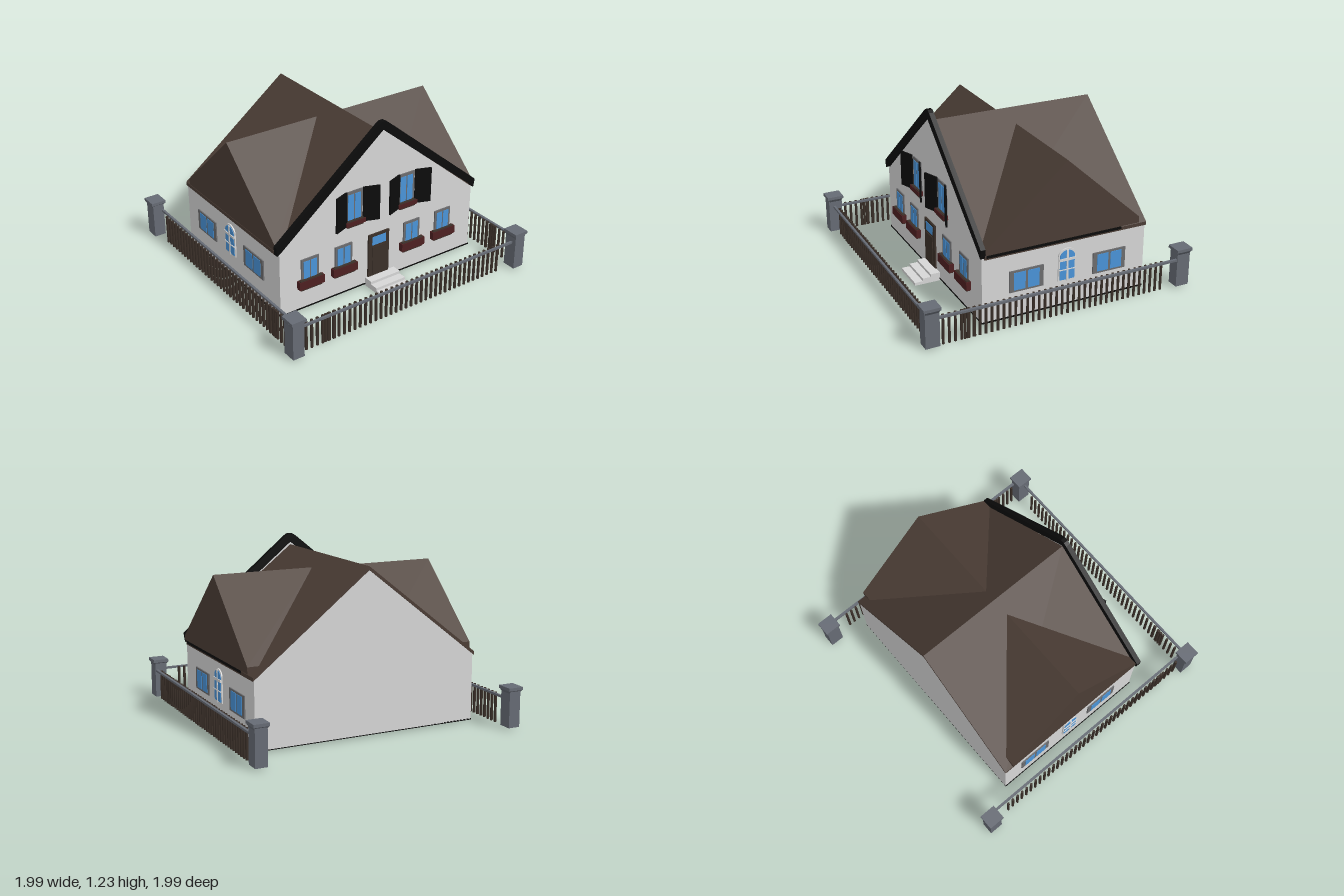
import * as THREE from 'three';

const mat = (name, color) => {
  const m = new THREE.MeshStandardMaterial({ color });
  m.name = name;
  return m;
};

export function createModel() {
  const house = new THREE.Group();
  house.name = 'house';
  const plaster = mat('plaster', 0xd6d6d6), roofing = mat('roofing', 0x4b3d35),
    black = mat('blackWood', 0x0c0c0c), slate = mat('slate', 0x666b74),
    glass = mat('glass', 0x4a94d8), red = mat('redWood', 0x4e2021),
    brown = mat('brownWood', 0x3b3029), grey = mat('frameGrey', 0x6c6c6e);

  const add = (parent, name, geo, material, x = 0, y = 0, z = 0) => {
    const m = new THREE.Mesh(geo, material);
    m.name = name;
    m.position.set(x, y, z);
    parent.add(m);
    return m;
  };
  // box given by its extents
  const box = (parent, name, material, x0, x1, y0, y1, z0, z1) => add(parent, name,
    new THREE.BoxGeometry(x1 - x0, y1 - y0, z1 - z0), material, (x0 + x1) / 2, (y0 + y1) / 2, (z0 + z1) / 2);
  // outline in x, y pushed from z0 to z1
  const prism = (parent, name, material, pts, z0, z1) => add(parent, name,
    new THREE.ExtrudeGeometry(new THREE.Shape(pts.map(p => new THREE.Vector2(...p))),
      { depth: z1 - z0, bevelEnabled: false }), material, 0, 0, z0);
  const group = (parent, name, x, y, z, ry = 0) => {
    const g = new THREE.Group();
    g.name = name;
    g.position.set(x, y, z);
    g.rotation.y = ry;
    parent.add(g);
    return g;
  };

  // body, front gable and underside
  prism(house, 'walls', plaster, [[-0.79, 0.02], [0.85, 0.02], [0.85, 0.49], [0.03, 1.14], [-0.79, 0.49]], -0.69, 0.52);
  prism(house, 'frontGable', plaster, [[-0.79, 0.02], [0.85, 0.02], [0.85, 0.5], [0.03, 1.18], [-0.79, 0.5]], 0.519, 0.53);
  box(house, 'underside', black, -0.795, 0.855, 0.014, 0.024, -0.69, 0.533);

  // main roof and thick black front edge
  prism(house, 'mainRoof', roofing, [[-0.8, 0.48], [0.03, 1.13], [0.86, 0.48], [0.86, 0.505], [0.03, 1.155], [-0.8, 0.505]], -0.695, 0.515);
  prism(house, 'frontRoofEdge', black, [[-0.815, 0.5], [-0.78, 0.52], [0.03, 1.175], [0.83, 0.525], [0.86, 0.495],
    [0.87, 0.56], [0.07, 1.22], [0.045, 1.235], [0.015, 1.235], [-0.01, 1.22], [-0.82, 0.56]], 0.51, 0.545);

  // cross gables on both sides
  for (const [side, x] of [[1, 0.87], [-1, -0.805]]) {
    const g = group(house, side > 0 ? 'leftCrossGable' : 'rightCrossGable', x, 0, 0, side * Math.PI / 2);
    const s = -side;
    const pts = [[s * 0.51, 0.515], [s * 0.51, 0.55], [s * -0.07, 1.07], [s * -0.63, 0.56], [s * -0.63, 0.515]];
    prism(g, 'crossRoof', roofing, side > 0 ? pts : pts.reverse(), -0.73, 0);
    box(g, 'eaveShadow', black, -0.5, 0.5, 0.49, 0.515, -0.06, -0.008);
  }

  // two-pane window, local z pointing out of the wall
  const casement = (parent, w, h) => {
    box(parent, 'frame', grey, -w / 2, w / 2, 0, h, 0, 0.009);
    for (const s of [-1, 1]) {
      const cx = s * w * 0.205, pw = w * 0.17;
      box(parent, 'pane', glass, cx - pw, cx + pw, h * 0.09, h * 0.91, 0.004, 0.012);
    }
  };
  const planter = (parent, w, y0, y1) => {
    box(parent, 'planter', red, -w / 2, w / 2, y0, y1, 0, 0.035);
    box(parent, 'planterBase', brown, -w / 2 + 0.015, w / 2 - 0.015, y0 - 0.012, y0, 0, 0.028);
    box(parent, 'soil', brown, -w / 2 + 0.01, w / 2 - 0.01, y1, y1 + 0.005, 0.004, 0.03);
  };

  // lower front windows
  for (const x of [-0.555, -0.28, 0.305, 0.585]) {
    const g = group(house, 'lowerWindow', x, 0.2, 0.53);
    casement(g, 0.14, 0.2);
    planter(g, 0.2, -0.015, 0.045);
  }
  // upper front windows with opened shutters
  for (const x of [-0.197, 0.245]) {
    const g = group(house, 'upperWindow', x, 0.55, 0.53);
    casement(g, 0.14, 0.24);
    planter(g, 0.16, -0.01, 0.022);
    for (const s of [-1, 1]) {
      const hinge = group(g, 'shutter', s * 0.07, 0, 0.01, -s * 0.35);
      box(hinge, 'shutterLeaf', black, s > 0 ? 0 : -0.118, s > 0 ? 0.118 : 0, -0.01, 0.25, 0, 0.012);
    }
  }

  // door and steps
  const door = group(house, 'door', 0.015, 0.07, 0.53);
  box(door, 'doorFrame', brown, -0.088, 0.088, 0, 0.33, 0, 0.012);
  box(door, 'doorGlass', glass, -0.058, 0.058, 0.245, 0.31, 0.008, 0.015);
  box(door, 'doorPanel', brown, -0.055, 0.055, 0.02, 0.23, 0.008, 0.017);
  for (let i = 0; i < 3; i++)
    box(house, 'step', plaster, -0.09, 0.16, 0.004, 0.066 - i * 0.02, 0.53, 0.6 + i * 0.06);

  // side windows: two casements and an arched one per side
  const arch = (w, h) => {
    const s = new THREE.Shape();
    s.moveTo(-w / 2, 0);
    s.lineTo(w / 2, 0);
    s.lineTo(w / 2, h - w * 0.4);
    s.absellipse(0, h - w * 0.4, w / 2, w * 0.4, 0, Math.PI, false);
    s.closePath();
    return new THREE.ExtrudeGeometry(s, { depth: 0.009, bevelEnabled: false, curveSegments: 8 });
  };
  for (const [side, x] of [[1, 0.85], [-1, -0.79]]) {
    const ry = side * Math.PI / 2;
    for (const [z, y, h] of [[0.21, 0.2, 0.155], [-0.415, 0.195, 0.155]])
      casement(group(house, 'sideWindow', x, y, z, ry), 0.25, h);
    const g = group(house, 'archedWindow', x, 0.2, -0.09, ry);
    add(g, 'archFrame', arch(0.13, 0.235), plaster);
    add(g, 'archGlass', arch(0.11, 0.215), glass, 0, 0.008, 0.004);
    box(g, 'archMullion', plaster, -0.007, 0.007, 0, 0.225, 0, 0.017);
    for (const [y, t] of [[0.08, 0.006], [0.148, 0.018]])
      box(g, 'archTransom', plaster, -0.062, 0.062, y, y + t, 0, 0.018);
  }

  // corner posts
  for (const x of [-0.943, 0.935]) for (const z of [-0.94, 0.93]) {
    const post = group(house, 'cornerPost', x, 0, z);
    box(post, 'postShaft', slate, -0.043, 0.043, 0.015, 0.27, -0.05, 0.05);
    const cap = add(post, 'postCapFlare', new THREE.CylinderGeometry(0.078, 0.06, 0.022, 4, 1), slate, 0, 0.267, 0);
    cap.geometry.rotateY(Math.PI / 4);
    cap.material = slate;
    box(post, 'postCap', slate, -0.055, 0.055, 0.277, 0.298, -0.06, 0.06);
  }

  // fence: rails and pickets
  box(house, 'frontRail', slate, -0.9, 0.9, 0.207, 0.222, 0.932, 0.948);
  box(house, 'rightRail', slate, -0.917, -0.9, 0.207, 0.222, -0.9, 0.9);
  box(house, 'leftRail', slate, 0.955, 0.974, 0.207, 0.222, -0.9, 0.9);
  const picketGeo = new THREE.CylinderGeometry(0.01, 0.01, 0.215, 6);
  const spots = [-0.695, -0.665, -0.625];
  for (let i = 0; i < 39; i++) spots.push(-0.845 + i * 0.0428);
  for (const t of spots) {
    add(house, 'frontPicket', picketGeo, brown, t, 0.112, 0.916);
    add(house, 'rightPicket', picketGeo, brown, -0.932, 0.112, -t);
    add(house, 'leftPicket', picketGeo, brown, 0.944, 0.112, -t);
  }
  return house;
}
